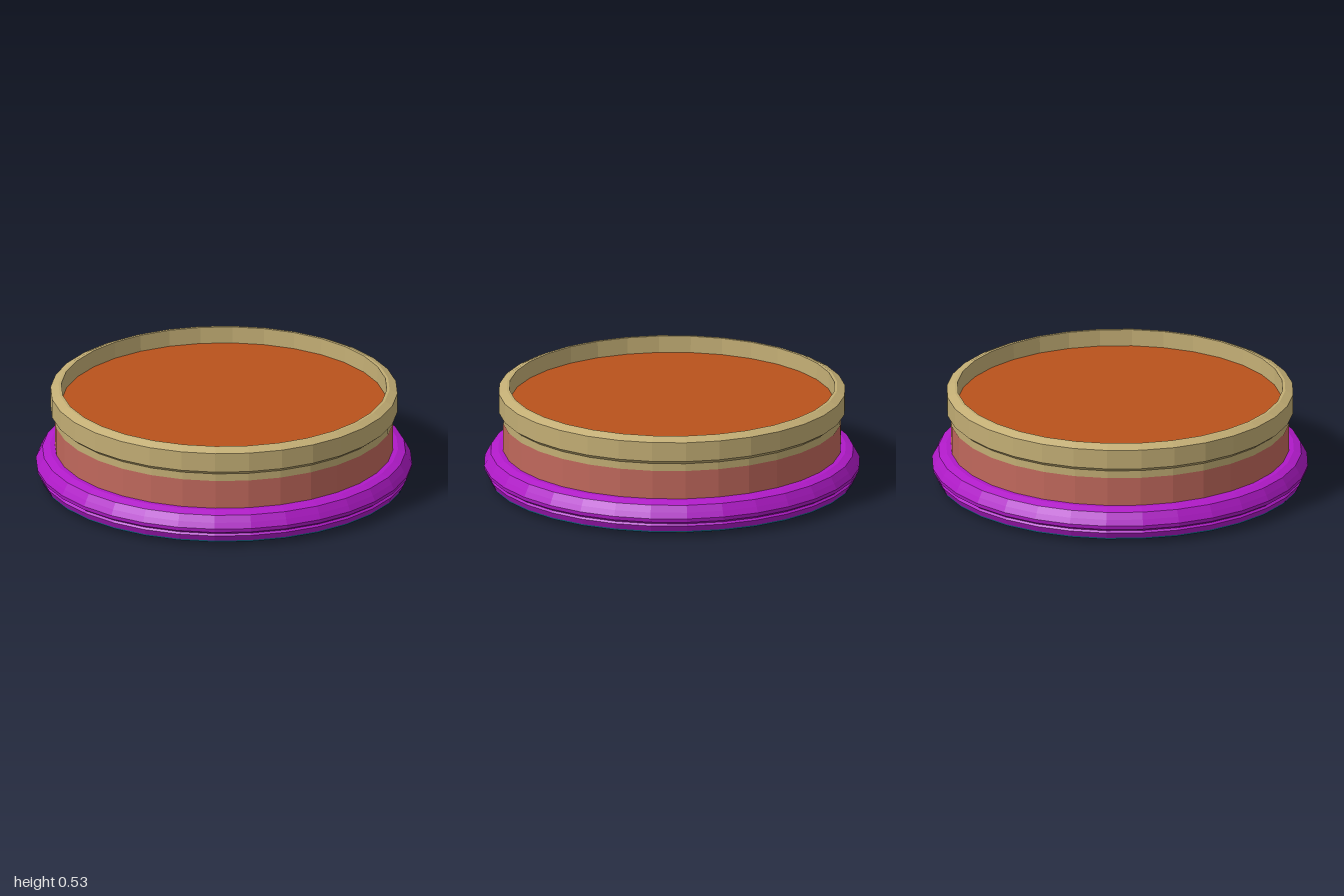
import * as THREE from 'three';

const SIDES = 32;

// Revolves a [radius, height] profile, listed from the bottom outwards and up
function turned(name, color, profile) {
  const points = profile.map(([r, y]) => new THREE.Vector2(r, y));
  const mesh = new THREE.Mesh(
    new THREE.LatheGeometry(points, SIDES),
    new THREE.MeshStandardMaterial({ color, flatShading: true })
  );
  mesh.name = name;
  return mesh;
}

export function createModel() {
  const model = new THREE.Group();
  model.name = 'roundTub';

  // Body with flat base, thicker lip, bevelled top edge and inner wall
  model.add(turned('body', 0xc2ad74, [
    [0, 0], [0.897, 0], [0.897, 0.385], [0.922, 0.405], [0.922, 0.51],
    [0.88, 0.53], [0.865, 0.53], [0.862, 0.435],
  ]));

  // Coloured band around the wall
  model.add(turned('wallBand', 0xc0685c, [[0.899, 0.18], [0.899, 0.345]]));

  // Rounded ring around the foot
  model.add(turned('footRing', 0xb01ac8, [
    [0.895, 0.025], [0.95, 0.02], [0.968, 0.03], [0.985, 0.065], [0.975, 0.075],
    [0.997, 0.09], [1, 0.11], [0.985, 0.14], [0.965, 0.175], [0.925, 0.19], [0.895, 0.19],
  ]));

  // Thin trim line under the foot ring
  model.add(turned('trimLine', 0x1a6a8a, [[0.957, 0.02], [0.968, 0.024], [0.972, 0.034]]));

  // Flat filling recessed below the rim
  const filling = new THREE.Mesh(
    new THREE.CircleGeometry(0.863, SIDES),
    new THREE.MeshStandardMaterial({ color: 0xb9521c, flatShading: true })
  );
  filling.name = 'filling';
  filling.rotation.x = -Math.PI / 2;
  filling.position.y = 0.44;
  model.add(filling);

  return model;
}
